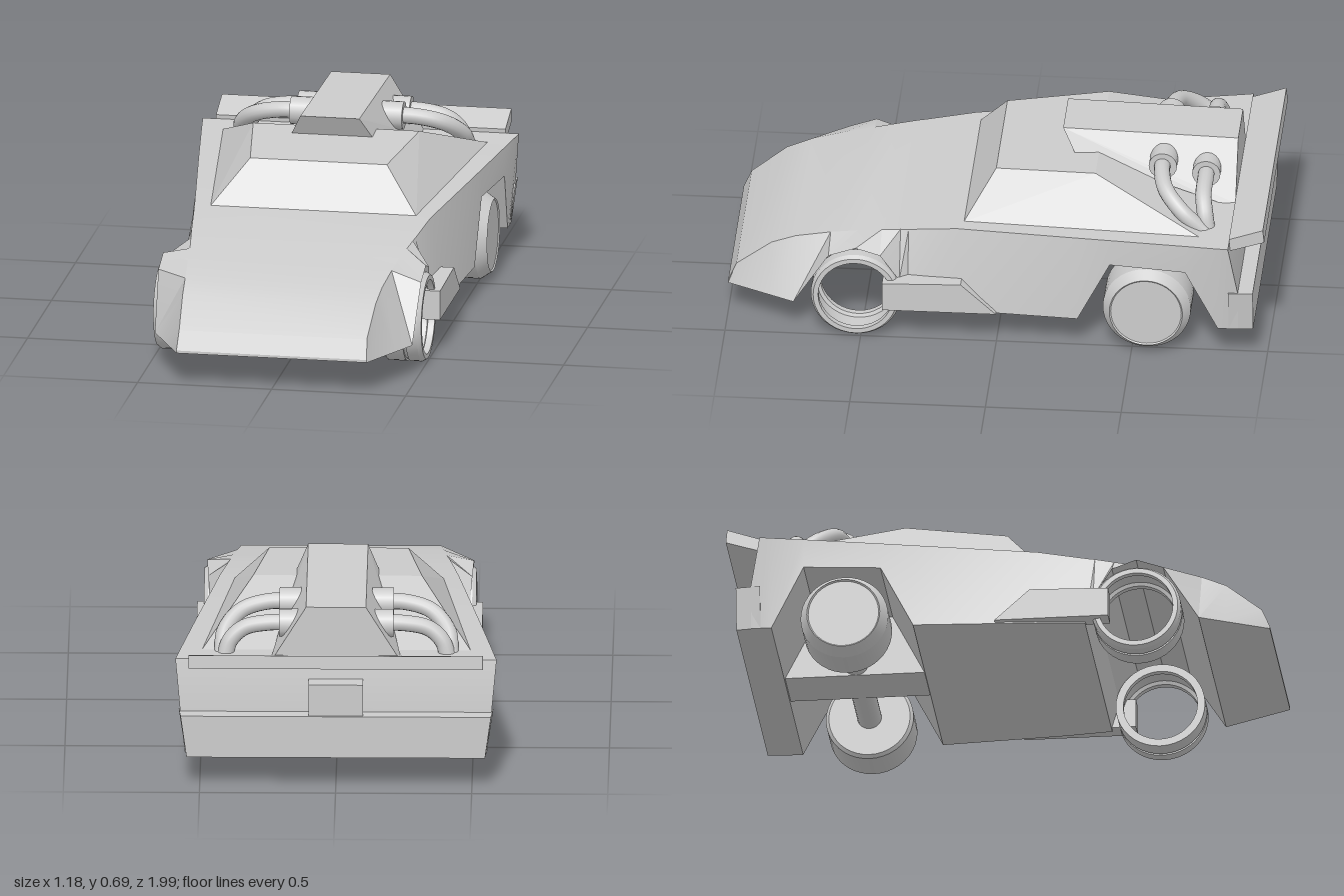
import * as THREE from 'three';
import { toCreasedNormals } from 'three/addons/utils/BufferGeometryUtils.js';
import { ConvexGeometry } from 'three/addons/geometries/ConvexGeometry.js';

const material = new THREE.MeshStandardMaterial({ color: 0xcccccc, side: THREE.DoubleSide });

function add(group, name, geometry) {
  const mesh = new THREE.Mesh(geometry, material);
  mesh.name = name;
  group.add(mesh);
  return mesh;
}

// Loft of four-cornered sections, front to back: [z, topY, topHalfWidth, bottomY, bottomHalfWidth]
function loft(sections) {
  const rings = sections.map(([z, yt, xt, yb, xb]) => [[xt, yt, z], [-xt, yt, z], [-xb, yb, z], [xb, yb, z]]);
  const pos = [];
  const quad = (a, b, c, d) => pos.push(...a, ...b, ...c, ...a, ...c, ...d);
  for (let i = 0; i < rings.length - 1; i++) {
    const a = rings[i], b = rings[i + 1];
    for (let k = 0; k < 4; k++) {
      const n = (k + 1) % 4;
      quad(a[k], b[k], b[n], a[n]);
    }
  }
  const f = rings[0], r = rings[rings.length - 1];
  quad(f[0], f[1], f[2], f[3]);
  quad(r[3], r[2], r[1], r[0]);
  const g = new THREE.BufferGeometry();
  g.setAttribute('position', new THREE.Float32BufferAttribute(pos, 3));
  return toCreasedNormals(g, 0.3);
}

// Side outline of [z, y] points, extruded across x
function slab(outline, x0, x1) {
  const shape = new THREE.Shape(outline.map(([z, y]) => new THREE.Vector2(-z, y)));
  const g = new THREE.ExtrudeGeometry(shape, { depth: x1 - x0, bevelEnabled: false });
  return g.rotateY(Math.PI / 2).translate(x0, 0, 0);
}

// Convex solid from corners [halfWidth, y, z], mirrored across x
function hull(corners) {
  const points = corners.flatMap(([x, y, z]) => [new THREE.Vector3(x, y, z), new THREE.Vector3(-x, y, z)]);
  return new ConvexGeometry(points);
}

// Turned wheel lying along x, its outer face towards side s
function wheel(profile, s) {
  const g = new THREE.LatheGeometry(profile.map(([r, h]) => new THREE.Vector2(r, h)), 40);
  return toCreasedNormals(g.rotateZ(-s * Math.PI / 2), 0.4);
}

export function createModel() {
  const car = new THREE.Group();
  car.name = 'wedgeCar';

  // Body shell, with wheel arches formed by the rising lower edge
  add(car, 'body', loft([
    [1.0, 0.13, 0.355, 0.12, 0.355],
    [0.97, 0.2, 0.35, 0.12, 0.37],
    [0.84, 0.3, 0.36, 0.12, 0.435],
    [0.75, 0.335, 0.367, 0.12, 0.48],
    [0.62, 0.364, 0.38, 0.325, 0.49],
    [0.52, 0.381, 0.39, 0.36, 0.49],
    [0.43, 0.395, 0.403, 0.33, 0.485],
    [0.36, 0.405, 0.413, 0.225, 0.475],
    [0.33, 0.408, 0.417, 0.12, 0.475],
    [0.15, 0.432, 0.44, 0.12, 0.495],
    [-0.3, 0.45, 0.508, 0.12, 0.525],
    [-0.42, 0.455, 0.526, 0.355, 0.53],
    [-0.7, 0.466, 0.567, 0.355, 0.565],
    [-0.82, 0.47, 0.584, 0.12, 0.555],
    [-0.86, 0.472, 0.59, 0.12, 0.555],
    [-0.895, 0.28, 0.572, 0.12, 0.555],
  ]));

  // Cabin with raked windscreen and sloping engine deck
  add(car, 'cabin', hull([
    [0.385, 0.43, 0.13], [0.255, 0.59, 0.02], [0.31, 0.615, -0.35], [0.5, 0.462, -0.76],
  ]));

  // Engine cowl on the deck
  add(car, 'engineCowl', hull([
    [0.11, 0.69, -0.215], [0.15, 0.61, -0.26], [0.155, 0.59, -0.4],
    [0.235, 0.47, -0.8], [0.235, 0.47, -0.86], [0.11, 0.675, -0.86],
  ]));

  // Rear wing, bumper and plate box
  add(car, 'rearWing', slab([[-0.865, 0.44], [-0.99, 0.48], [-0.985, 0.53], [-0.86, 0.487]], -0.54, 0.54));
  add(car, 'rearBumper', loft([
    [-0.86, 0.28, 0.578, 0.12, 0.555],
    [-0.95, 0.28, 0.57, 0.12, 0.548],
  ]));
  add(car, 'plateBox', slab([[-0.85, 0.28], [-0.94, 0.28], [-0.94, 0.4], [-0.85, 0.4]], -0.1, 0.1));

  // Gearbox and rear axle
  add(car, 'gearbox', slab([[-0.28, 0.125], [-0.83, 0.125], [-0.83, 0.4], [-0.28, 0.4]], -0.1, 0.1));
  const axle = new THREE.CylinderGeometry(0.045, 0.045, 0.8, 20).rotateZ(Math.PI / 2);
  add(car, 'rearAxle', axle).position.set(0, 0.17, -0.555);

  // Open ring profile and capped drum profile, as [radius, offset along axle]
  const frontProfile = [
    [0.137, -0.07], [0.165, -0.07], [0.165, 0], [0.157, 0], [0.157, 0.012], [0.165, 0.012],
    [0.165, 0.055], [0.155, 0.07], [0.137, 0.07], [0.137, 0.045], [0.15, 0.04], [0.15, -0.04],
    [0.137, -0.045], [0.137, -0.07],
  ];
  const rearProfile = [
    [0, -0.09], [0.15, -0.09], [0.162, -0.08], [0.162, 0.055], [0.135, 0.095], [0.13, 0.09], [0, 0.09],
  ];

  for (const s of [1, -1]) {
    const side = s > 0 ? 'left' : 'right';

    add(car, side + 'FrontWheel', wheel(frontProfile, s)).position.set(s * 0.43, 0.165, 0.52);
    add(car, side + 'RearWheel', wheel(rearProfile, s)).position.set(s * 0.455, 0.17, -0.555);

    // Side pod behind the front wheel
    const pod = [[0.42, 0.125], [0.42, 0.235], [0.13, 0.243], [0.0, 0.125]];
    add(car, side + 'SidePod', slab(pod, s > 0 ? 0.45 : -0.525, s > 0 ? 0.525 : -0.45));

    // Two exhaust pipes, each with a collar on the cowl
    const pipes = [
      [[0.15, 0.6, -0.59], [0.25, 0.6, -0.59], [0.35, 0.575, -0.615], [0.41, 0.52, -0.68], [0.42, 0.45, -0.76]],
      [[0.15, 0.575, -0.75], [0.25, 0.575, -0.75], [0.34, 0.555, -0.75], [0.39, 0.51, -0.76], [0.41, 0.45, -0.77]],
    ];
    pipes.forEach((path, i) => {
      const curve = new THREE.CatmullRomCurve3(path.map(([x, y, z]) => new THREE.Vector3(s * x, y, z)));
      add(car, side + 'ExhaustPipe' + (i + 1), new THREE.TubeGeometry(curve, 24, 0.03, 14));
      const collar = new THREE.CylinderGeometry(0.052, 0.052, 0.08, 20).rotateZ(Math.PI / 2);
      add(car, side + 'ExhaustCollar' + (i + 1), collar).position.set(s * 0.17, path[0][1], path[0][2]);
    });
  }
  return car;
}
